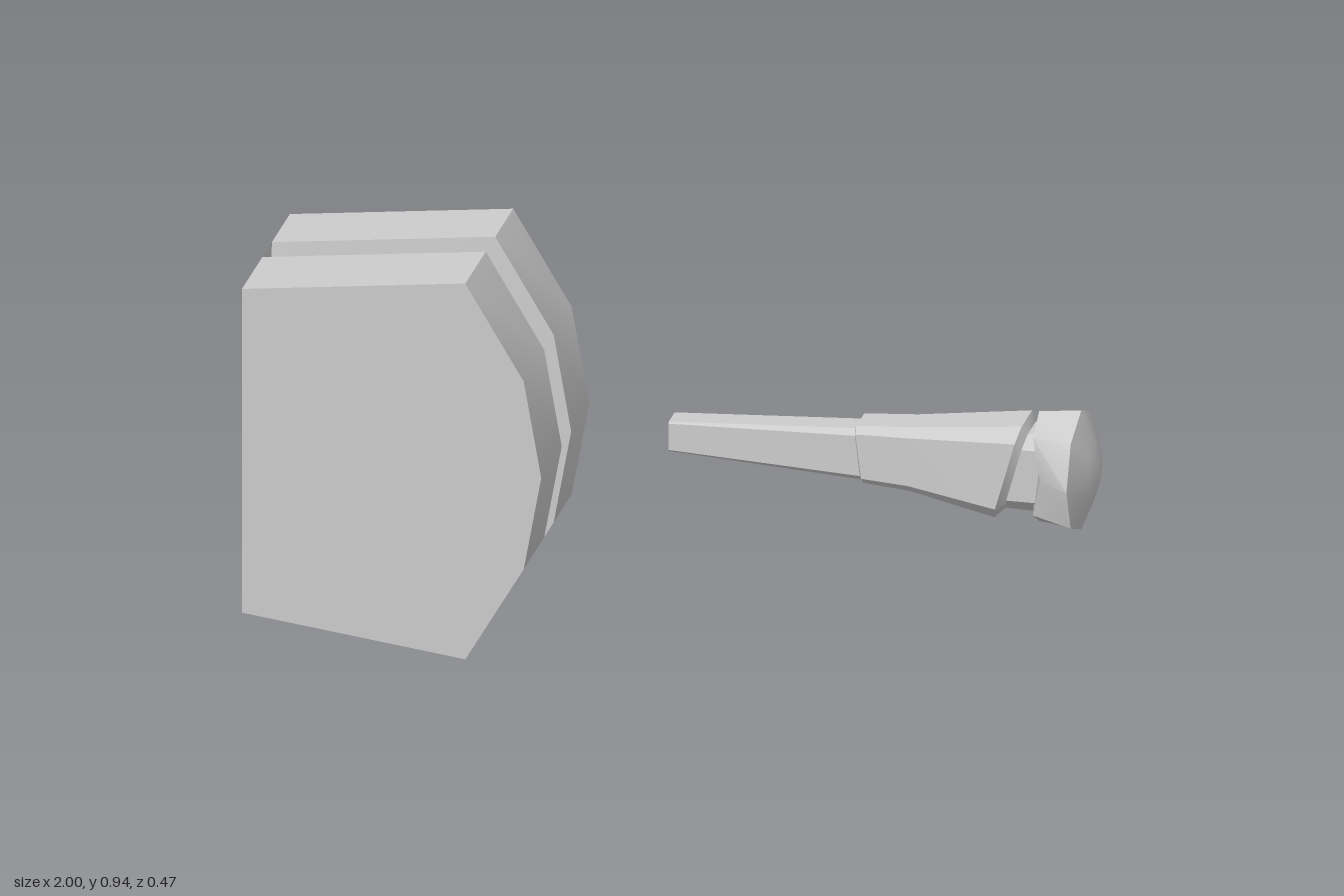
import * as THREE from 'three';
import { toCreasedNormals } from 'three/addons/utils/BufferGeometryUtils.js';

const material = new THREE.MeshStandardMaterial({ color: 0xcccccc, side: THREE.DoubleSide });

// Skins a list of equal-length rings; caps close both ends, open skips the last edge of each ring.
function loft(name, rings, open = false) {
  const n = rings[0].length, last = (rings.length - 1) * n, index = [];
  for (let i = 0; i < rings.length - 1; i++) {
    for (let j = 0; j < (open ? n - 1 : n); j++) {
      const a = i * n + j, b = i * n + (j + 1) % n;
      index.push(a, b, b + n, a, b + n, a + n);
    }
  }
  for (let j = 1; j < n - 1; j++) index.push(0, j + 1, j, last, last + j, last + j + 1);
  const geometry = new THREE.BufferGeometry();
  geometry.setAttribute('position', new THREE.Float32BufferAttribute(rings.flat(2), 3));
  geometry.setIndex(index);
  const mesh = new THREE.Mesh(toCreasedNormals(geometry, 0.68), material);
  mesh.name = name;
  return mesh;
}

const CY = 0.515, CZ = -0.0085; // axis of the stick

// Chamfered rectangle across the stick, leaning along x by its slant
function shaftRing([x, cy, hy, hz, c, slant]) {
  return [
    [hy, -hz + c], [hy, hz - c], [hy - c, hz], [-hy + c, hz],
    [-hy, hz - c], [-hy, -hz + c], [-hy + c, -hz], [hy - c, -hz],
  ].map(([y, z]) => [x + slant * y, cy + y, CZ + z]);
}

// Octagon across the stick with its side corners pushed along x
function headRing([x, ry, rz, push]) {
  return Array.from({ length: 8 }, (_, j) => {
    const a = j * Math.PI / 4;
    return [x + push * Math.sin(a) ** 8, CY + ry * Math.cos(a), CZ + rz * Math.sin(a)];
  });
}

export function createModel() {
  const group = new THREE.Group();

  // Grooved block: one outline, shrunk towards the back wall inside the groove
  const outline = [
    [-1, 0.066], [-0.465, 0], [-0.325, 0.24], [-0.283, 0.473],
    [-0.325, 0.712], [-0.465, 0.945], [-1, 0.88],
  ];
  const stations = [
    [-0.237, 1], [-0.059, 1], [-0.046, 0.62], [0.025, 0.62], [0.035, 1], [0.237, 1],
  ];
  group.add(loft('groovedBlock', stations.map(([z, s]) =>
    outline.map(([x, y]) => [-1 + (x + 1) * s, 0.473 + (y - 0.473) * s, z])), true));

  // Flat back wall, which also closes the groove
  const back = new THREE.Mesh(new THREE.PlaneGeometry(0.474, 0.814), material);
  back.name = 'backWall';
  back.rotation.y = -Math.PI / 2;
  back.position.set(-1, 0.473, 0);
  group.add(back);

  // Stick: thin rod, wider grip with a small step, then a narrow neck
  group.add(loft('stick', [
    [-0.03, 0.517, 0.037, 0.033, 0.004, 0],
    [0.425, 0.517, 0.064, 0.044, 0.014, -0.12],
    [0.43, 0.52, 0.071, 0.055, 0.016, -0.12],
    [0.55, 0.52, 0.08, 0.061, 0.02, 0],
    [0.788, 0.515, 0.117, 0.085, 0.033, 0.28],
    [0.806, 0.515, 0.095, 0.07, 0.03, 0.28],
    [0.88, 0.515, 0.1, 0.07, 0.035, 0],
  ].map(shaftRing)));

  // Flared octagonal head with a shallow domed end
  group.add(loft('head', [
    [0.85, 0.138, 0.095, 0.025],
    [0.951, 0.15, 0.148, 0],
    [0.983, 0.07, 0.07, 0],
    [1, 0.003, 0.003, 0],
  ].map(headRing)));

  return group;
}
